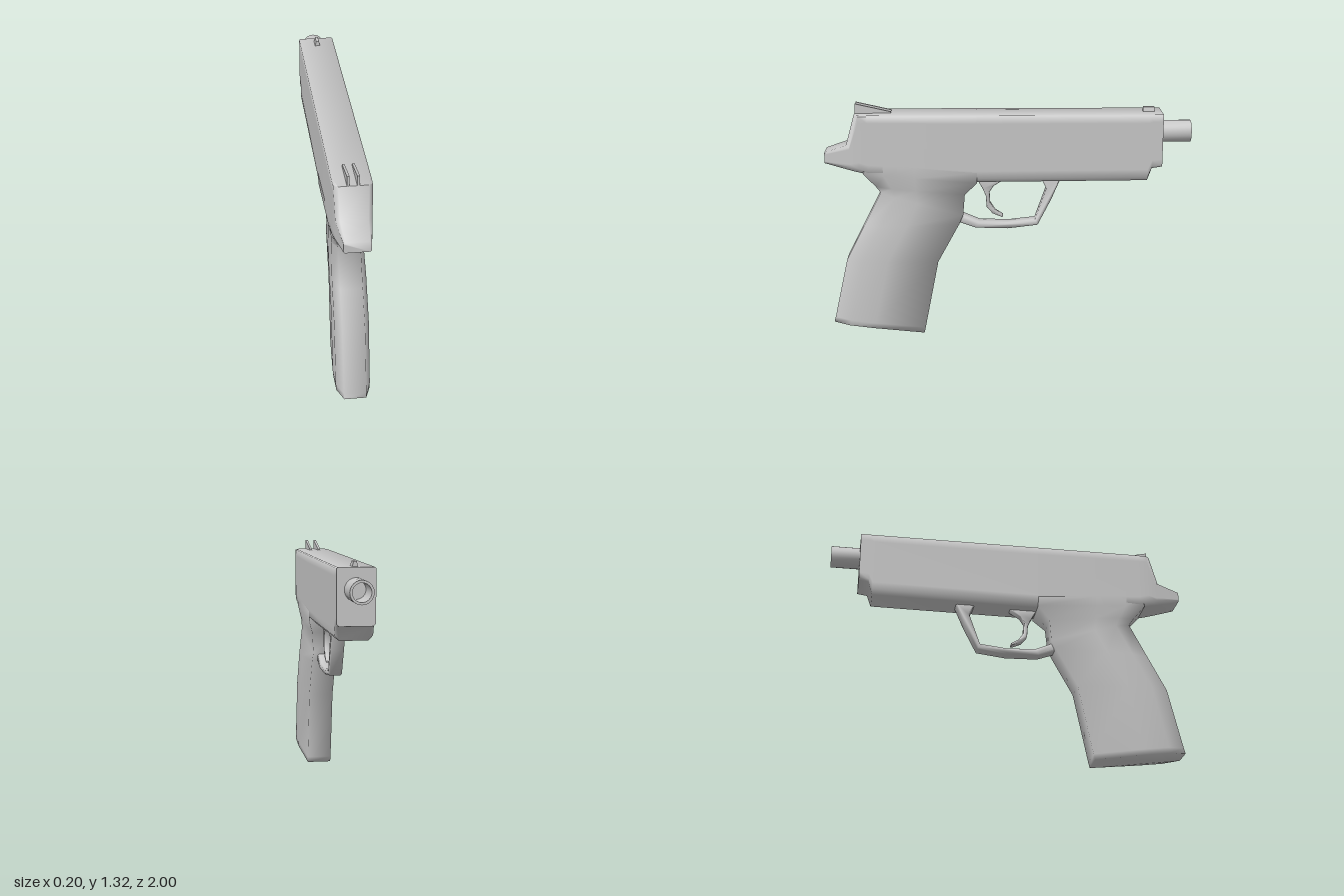
import * as THREE from 'three';
import { toCreasedNormals } from 'three/addons/utils/BufferGeometryUtils.js';

const gunmetal = new THREE.MeshStandardMaterial({ color: 0xc8c8c8 });
gunmetal.name = 'gunmetal grey';

// Skins a list of equal-length rings of [x, y, z] points, caps the start and, if asked, the end
function loft(rings, crease, capEnd) {
  const n = rings[0].length;
  const index = [];
  for (let i = 0; i < rings.length - 1; i++) {
    for (let j = 0; j < n; j++) {
      const a = i * n + j, b = i * n + (j + 1) % n;
      index.push(a, b, b + n, a, b + n, a + n);
    }
  }
  const last = (rings.length - 1) * n;
  for (let j = 1; j < n - 1; j++) {
    index.push(0, j + 1, j);
    if (capEnd) index.push(last, last + j, last + j + 1);
  }
  const g = new THREE.BufferGeometry();
  g.setAttribute('position', new THREE.Float32BufferAttribute(rings.flat(2), 3));
  g.setIndex(index);
  return toCreasedNormals(g, crease);
}

// Extrudes a side profile of [z, y] points across x, centred on x = 0
function sidePlate(points, width, bevel = 0) {
  const shape = new THREE.Shape(points.map(([z, y]) => new THREE.Vector2(z, y)));
  const depth = width - 2 * bevel;
  const g = new THREE.ExtrudeGeometry(shape, {
    depth, bevelEnabled: bevel > 0, bevelSize: bevel, bevelThickness: bevel,
    bevelOffset: -bevel, bevelSegments: 1,
  });
  g.translate(0, 0, -depth / 2);
  g.rotateY(-Math.PI / 2);
  return toCreasedNormals(g, 1.2);
}

// Upright rectangle with eased corners, counter-clockwise seen from +z;
// rake pulls its sides forward to round the rear corners
function slideRing([z, bottom, top, w, easeX, easeBottom, rake]) {
  const low = bottom + easeBottom, high = top - 0.005;
  const inset = (high - low) * 0.12;
  const half = [
    [w - easeBottom, bottom, z], [w, low, z - rake], [w, low + inset, z - rake],
    [w, high - inset, z - rake], [w, high, z - rake], [w - easeX, top, z],
  ];
  return [...half, ...half.map(([x, y, d]) => [-x, y, d]).reverse()];
}

// Grip outline: flat back, full sides, front narrowed by its own share
function gripRing([zBack, yBack, zFront, yFront, w, backShare, frontShare]) {
  const half = [[backShare, 0], [1, 0.18], [1, 0.45], [frontShare, 1]];
  const plan = [...half, ...half.map(([x, t]) => [-x, t]).reverse()];
  return plan.map(([x, t]) => [
    x * w, yBack + (yFront - yBack) * t, zBack + (zFront - zBack) * t,
  ]);
}

export function createModel() {
  const model = new THREE.Group();
  model.name = 'pistol';
  const add = (name, geometry) => {
    const mesh = new THREE.Mesh(geometry, gunmetal);
    mesh.name = name;
    model.add(mesh);
    return mesh;
  };

  // Slide and frame: z, bottom, top, half width, top ease, bottom ease, rake
  add('slideAndFrame', loft([
    [-0.84, 0.98, 1.27, 0.098, 0.006, 0.012, 0],
    [-0.785, 0.972, 1.27, 0.098, 0.006, 0.012, 0],
    [-0.762, 0.9, 1.27, 0.098, 0.006, 0.025, 0],
    [0.17, 0.893, 1.27, 0.098, 0.006, 0.025, 0],
    [0.76, 0.938, 1.27, 0.098, 0.006, 0.02, 0],
    [0.832, 0.955, 1.27, 0.096, 0.022, 0.02, 0.02],
    [0.88, 0.967, 1.1, 0.091, 0.022, 0.02, 0.018],
    [1.0, 1.0, 1.06, 0.068, 0.008, 0.006, 0],
  ].map(slideRing), 1.26, true));

  // Grip: back z, back y, front z, front y, half width, back share, front share
  add('grip', loft([
    [0.985, 0.07, 0.475, 0.003, 0.088, 0.65, 0.77],
    [0.977, 0.1, 0.468, 0.035, 0.09, 0.65, 0.77],
    [0.9, 0.44, 0.39, 0.43, 0.09, 0.65, 0.77],
    [0.8, 0.635, 0.27, 0.65, 0.089, 0.65, 0.77],
    [0.7, 0.83, 0.248, 0.7, 0.083, 0.7, 0.77],
    [0.725, 0.865, 0.238, 0.82, 0.085, 0.75, 0.85],
    [0.79, 0.942, 0.17, 0.892, 0.0982, 0.9, 1],
    [0.79, 1.0, 0.17, 0.95, 0.0984, 0.9, 1],
  ].map(gripRing), 1.7, false));

  // Trigger guard loop
  add('triggerGuard', sidePlate([
    [0.3, 0.66], [0.18, 0.617], [0, 0.612], [-0.165, 0.632], [-0.24, 0.78],
    [-0.295, 0.91], [-0.18, 0.91], [-0.212, 0.84], [-0.15, 0.664],
    [0, 0.647], [0.16, 0.653], [0.27, 0.7],
  ], 0.075, 0.008));

  // Curved trigger
  add('trigger', sidePlate([
    [0.18, 0.91], [0.14, 0.84], [0.123, 0.8], [0.118, 0.735], [0.085, 0.697],
    [0.03, 0.674], [0.027, 0.685], [0.07, 0.712], [0.098, 0.755],
    [0.102, 0.82], [0.08, 0.855], [0.02, 0.892], [0.02, 0.91],
  ], 0.045, 0.003));

  // Barrel tube with an open bore
  const barrel = new THREE.LatheGeometry([
    [0.06, -0.02], [0.06, 0.16], [0.047, 0.16], [0.047, -0.02],
  ].map(([r, h]) => new THREE.Vector2(r, h)), 24);
  barrel.rotateX(-Math.PI / 2);
  barrel.translate(0, 1.16, -0.84);
  add('barrel', toCreasedNormals(barrel, 0.6));

  // Pair of rear sight fins
  for (const side of [-1, 1]) {
    const fin = add(side > 0 ? 'leftRearSight' : 'rightRearSight', sidePlate([
      [0.832, 1.26], [0.635, 1.26], [0.635, 1.278], [0.83, 1.322],
    ], 0.013));
    fin.position.x = side * 0.025;
  }

  // Front sight blade, narrower at the top
  const blade = new THREE.BoxGeometry(0.036, 0.04, 0.062);
  const p = blade.attributes.position;
  for (let i = 0; i < p.count; i++) {
    if (p.getY(i) > 0) p.setX(i, p.getX(i) * 0.45);
  }
  blade.computeVertexNormals();
  blade.translate(0, 1.276, -0.768);
  add('frontSight', blade);

  return model;
}
